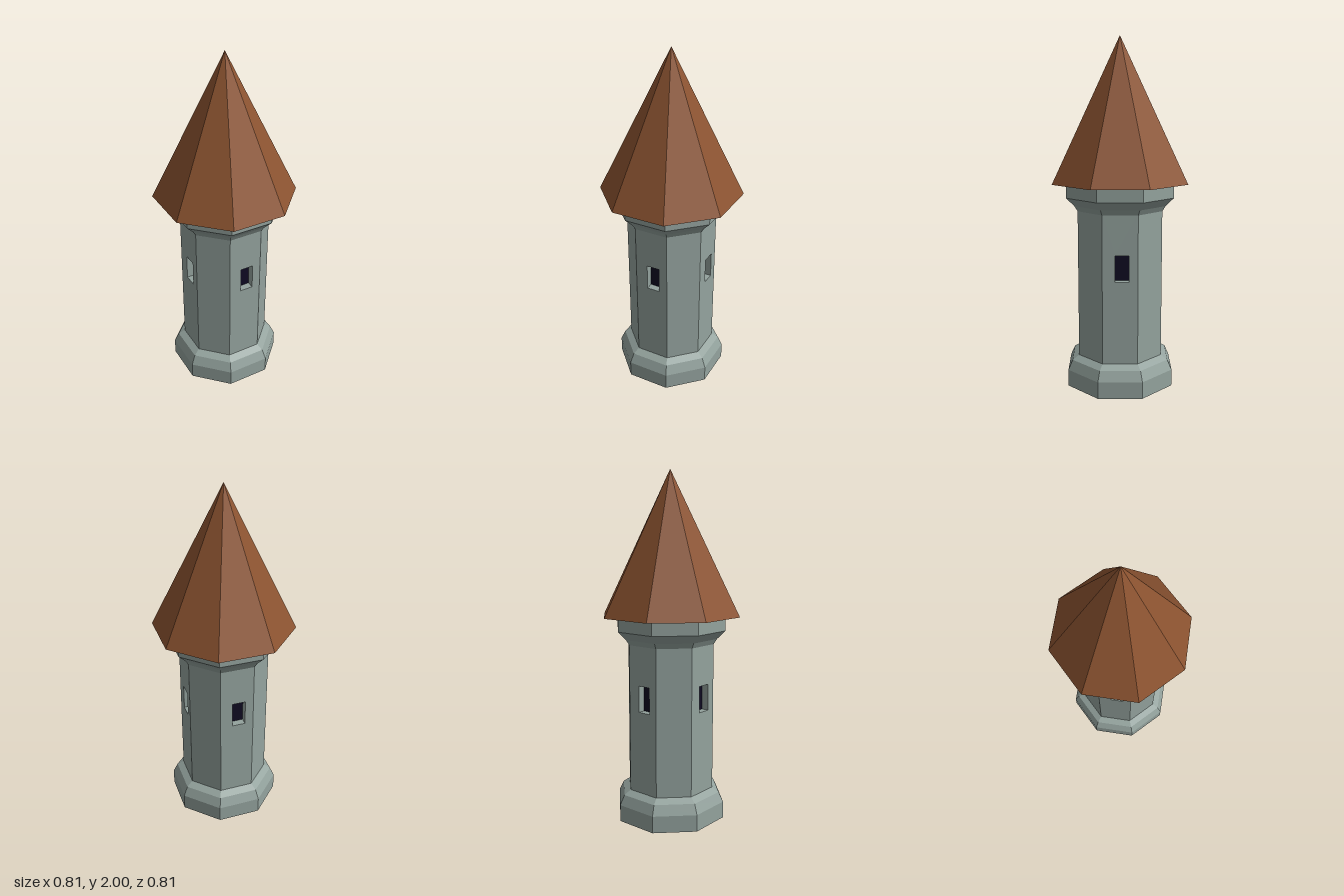
import * as THREE from 'three';

const SIDES = 8;
const RADIUS = 0.258;                                   // shaft, corner to centre
const APOTHEM = RADIUS * Math.cos(Math.PI / SIDES);     // shaft, wall to centre
const WALL = 2 * RADIUS * Math.sin(Math.PI / SIDES);    // width of one wall
const SHAFT_BOTTOM = 0.17, SHAFT_TOP = 1.04;
const NICHE = { x: 0.011, width: 0.077, bottom: 0.655, top: 0.806, depth: 0.047 };

const stone = new THREE.MeshStandardMaterial({ color: 0x94a39e });
stone.name = 'stone';
const tile = new THREE.MeshStandardMaterial({ color: 0x8d5431 });
tile.name = 'roofTile';
const dark = new THREE.MeshStandardMaterial({ color: 0x0f0b22 });
dark.name = 'windowDark';

function mesh(name, geometry, material) {
  const m = new THREE.Mesh(geometry, material);
  m.name = name;
  return m;
}

// Separate the faces so that every facet is flat
function faceted(geometry) {
  const g = geometry.toNonIndexed();
  g.computeVertexNormals();
  return g;
}

// Octagonal ring from a [radius, height] profile, bottom to top
function ring(name, profile) {
  const points = profile.map(([r, y]) => new THREE.Vector2(r, y));
  return mesh(name, faceted(new THREE.LatheGeometry(points, SIDES)), stone);
}

function rectangle(path, x0, y0, x1, y1) {
  path.moveTo(x0, y0);
  path.lineTo(x1, y0);
  path.lineTo(x1, y1);
  path.lineTo(x0, y1);
  path.closePath();
  return path;
}

// One shaft wall, facing +z, optionally with a window niche
function wall(hasWindow) {
  const group = new THREE.Group();
  group.name = hasWindow ? 'windowWall' : 'plainWall';
  const shape = rectangle(new THREE.Shape(), -WALL / 2, SHAFT_BOTTOM, WALL / 2, SHAFT_TOP);
  const x0 = NICHE.x - NICHE.width / 2, x1 = NICHE.x + NICHE.width / 2;
  if (hasWindow) shape.holes.push(rectangle(new THREE.Path(), x0, NICHE.bottom, x1, NICHE.top));

  const panel = new THREE.ExtrudeGeometry(shape, { depth: NICHE.depth, bevelEnabled: false });
  panel.translate(0, 0, APOTHEM - NICHE.depth);
  group.add(mesh('wallPanel', panel, stone));

  if (hasWindow) {
    const pane = mesh('windowOpening',
      new THREE.BoxGeometry(NICHE.width, NICHE.top - NICHE.bottom, 0.006), dark);
    pane.position.set(NICHE.x, (NICHE.bottom + NICHE.top) / 2, APOTHEM - NICHE.depth + 0.002);
    group.add(pane);
  }
  return group;
}

export function createModel() {
  const tower = new THREE.Group();
  tower.name = 'tower';

  // Sloped footing, closed underneath
  tower.add(ring('footing', [[0, 0], [0.325, 0], [0.325, 0.097], [0.298, 0.154], [RADIUS, 0.18]]));

  // Eight-sided shaft with a window in every second wall
  const shaft = new THREE.Group();
  shaft.name = 'shaft';
  for (let i = 0; i < SIDES; i++) {
    const side = wall(i % 2 === 0);
    side.rotation.y = (i + 0.5) * 2 * Math.PI / SIDES;
    shaft.add(side);
  }
  tower.add(shaft);

  // Flared crown below the eaves
  tower.add(ring('crown', [[RADIUS, 1.03], [0.277, 1.06], [0.325, 1.108], [0.325, 1.187]]));

  // Pointed roof
  const roof = mesh('roof', faceted(new THREE.ConeGeometry(0.407, 0.813, SIDES)), tile);
  roof.position.y = 1.187 + 0.813 / 2;
  tower.add(roof);

  return tower;
}
